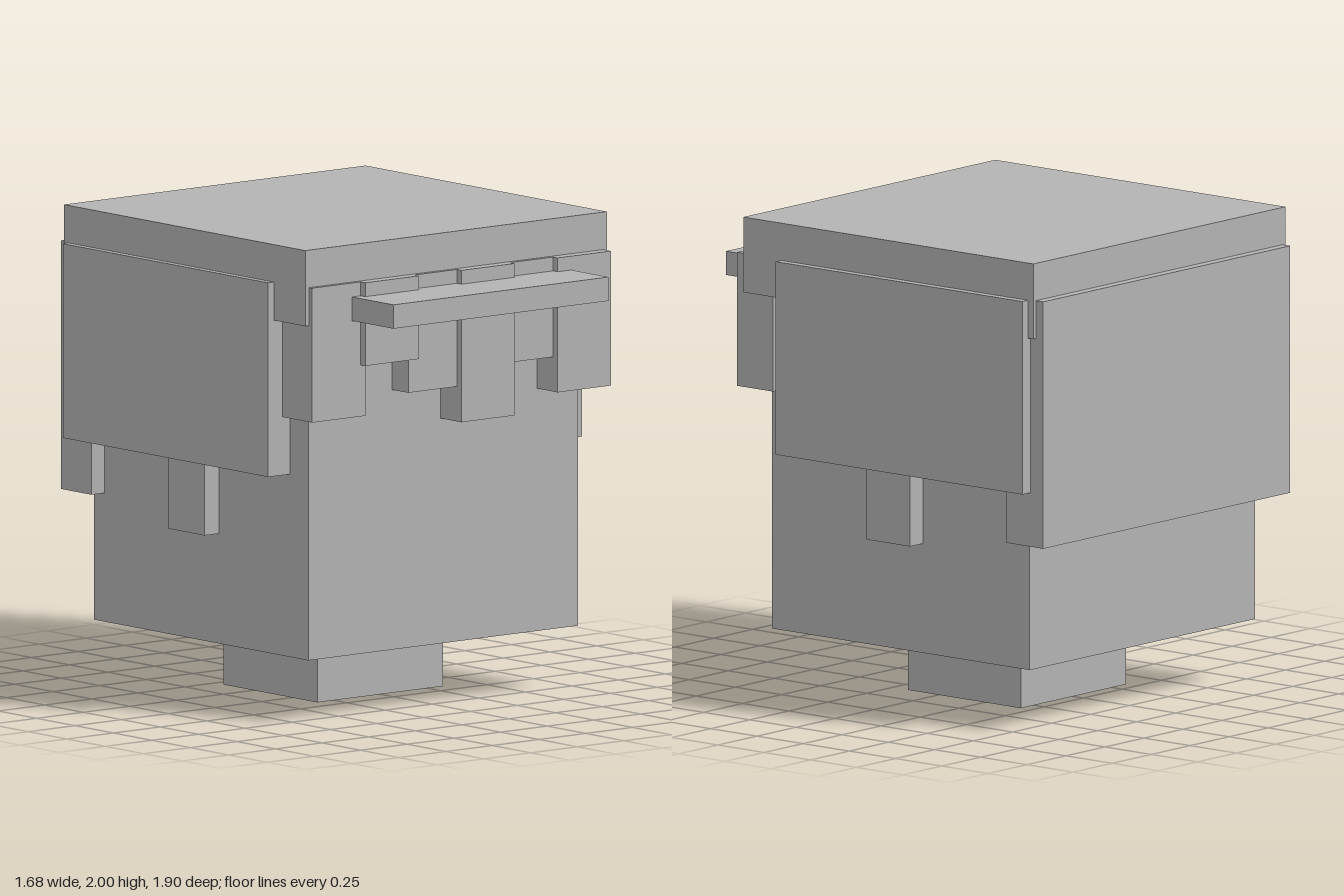
import * as THREE from 'three';

export function createModel() {
  const model = new THREE.Group();
  model.name = 'blockHead';
  const grey = new THREE.MeshStandardMaterial({ color: 0xb3b3b3 });
  grey.name = 'plain grey';

  // Box from its limits on each axis
  const block = (name, [x0, x1], [y0, y1], [z0, z1]) => {
    const mesh = new THREE.Mesh(new THREE.BoxGeometry(x1 - x0, y1 - y0, z1 - z0), grey);
    mesh.position.set((x0 + x1) / 2, (y0 + y1) / 2, (z0 + z1) / 2);
    mesh.name = name;
    model.add(mesh);
  };

  // Neck and head
  block('neck', [-0.338, 0.335], [0, 0.265], [-0.445, 0.165]);
  block('head', [-0.724, 0.721], [0.265, 1.75], [-0.818, 0.575]);

  // Cap with its brim
  block('capCrown', [-0.81, 0.805], [1.683, 2], [-0.91, 0.66]);
  block('capBrim', [-0.577, 0.574], [1.685, 1.785], [0.55, 0.95]);

  // Hair at the back and sides, sideburns below the side hair
  block('backHair', [-0.793, 0.79], [0.803, 1.843], [-0.95, -0.752]);
  for (const [side, s] of [['left', 1], ['right', -1]]) {
    const mirror = (a, b) => (s > 0 ? [a, b] : [-b, -a]);
    block(side + 'SideHair', mirror(0.64, 0.84), [1.03, 1.843], [-0.88, 0.455]);
    block(side + 'Sideburn', mirror(0.61, 0.803), [0.725, 1.1], [-0.24, -0.005]);
  }

  // Fringe strands: left limit, right limit, lower end, front face
  const strands = [
    [-0.79, -0.505, 1.28, 0.68],
    [-0.53, -0.243, 1.495, 0.71],
    [-0.275, -0.015, 1.353, 0.68],
    [-0.015, 0.27, 1.207, 0.71],
    [0.25, 0.52, 1.425, 0.68],
    [0.5, 0.786, 1.28, 0.71],
  ];
  strands.forEach(([x0, x1, y0, z], i) =>
    block('fringeStrand' + (i + 1), [x0, x1], [y0, 1.843], [z - 0.195, z]));

  return model;
}
